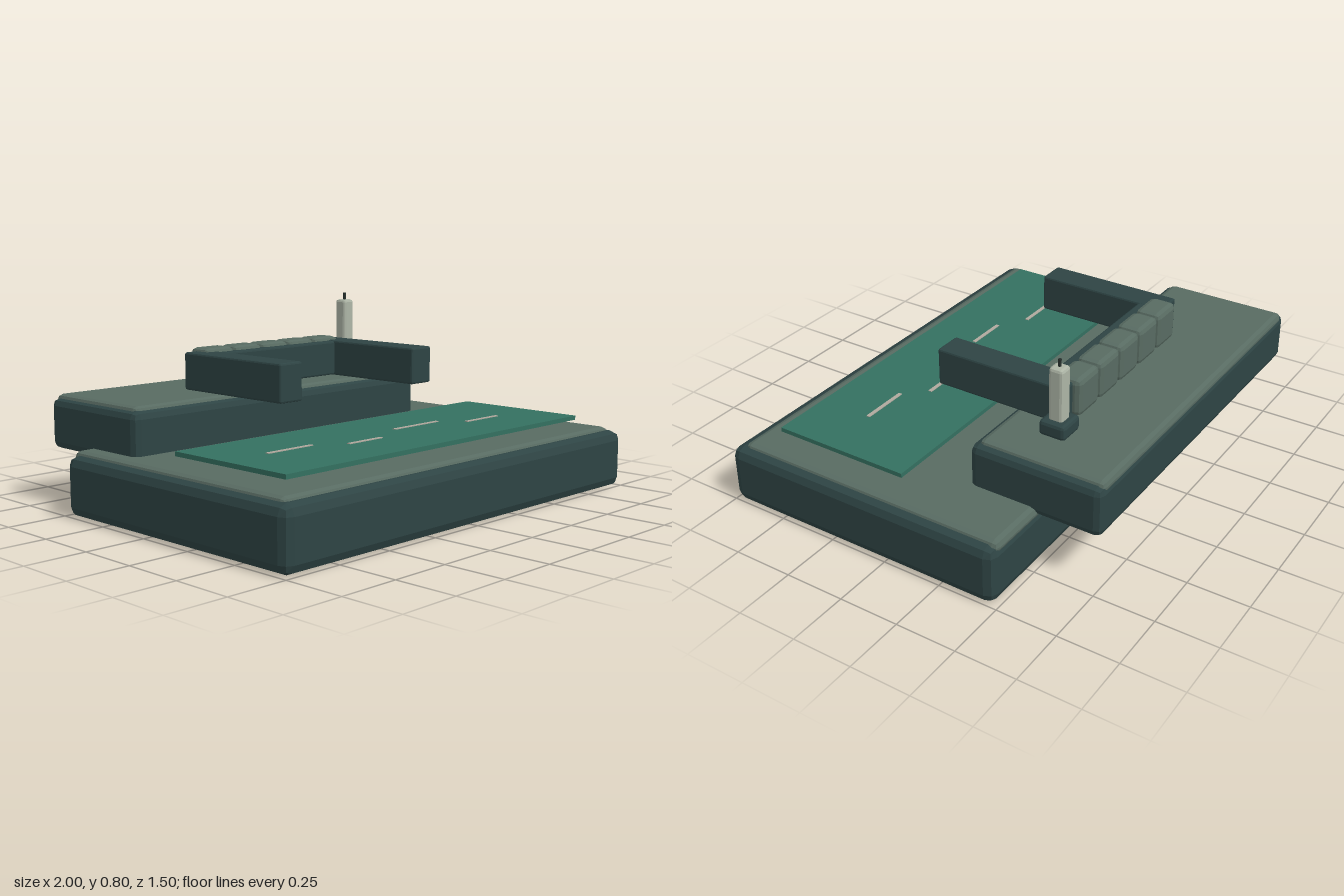
import * as THREE from 'three';
import { RoundedBoxGeometry } from 'three/addons/geometries/RoundedBoxGeometry.js';

function makeMaterial(name, color) {
  const m = new THREE.MeshStandardMaterial({ color, flatShading: true });
  m.name = name;
  return m;
}

export function createModel() {
  const model = new THREE.Group();
  model.name = 'terraceModel';

  const darkStone = makeMaterial('darkStone', 0x2e4444);
  const paleStone = makeMaterial('paleStone', 0x586b62);
  const water = makeMaterial('water', 0x347060);
  const wax = makeMaterial('wax', 0xadb5a6);
  const ripple = makeMaterial('ripple', 0xb0a99e);
  const wickBlack = makeMaterial('wickBlack', 0x28322f);

  // Box given by its extents along each axis, with an optional bevel
  function block(name, material, [x0, x1], [y0, y1], [z0, z1], bevel = 0) {
    const size = [x1 - x0, y1 - y0, z1 - z0];
    const geometry = bevel
      ? new RoundedBoxGeometry(...size, 1, bevel)
      : new THREE.BoxGeometry(...size);
    const mesh = new THREE.Mesh(geometry, material);
    mesh.name = name;
    mesh.position.set((x0 + x1) / 2, (y0 + y1) / 2, (z0 + z1) / 2);
    model.add(mesh);
    return mesh;
  }

  // Lower and upper terraces with their paler caps
  block('lowerTerrace', darkStone, [-1, 1], [0, 0.242], [-0.485, 0.75], 0.04);
  block('lowerCap', paleStone, [-0.965, 0.965], [0.2, 0.257], [-0.483, 0.705], 0.025);
  block('upperTerrace', darkStone, [-0.885, 0.712], [0.222, 0.428], [-0.75, -0.19], 0.03);
  block('upperCap', paleStone, [-0.862, 0.685], [0.39, 0.443], [-0.746, -0.215], 0.022);

  // Thin water sheet and its ripples
  block('waterSheet', water, [-0.86, 0.855], [0.288, 0.306], [0.015, 0.605]);
  const ripples = [[-0.655, -0.425, 0.29], [-0.31, -0.125, 0.37], [0.05, 0.32, 0.28], [0.4, 0.61, 0.37]];
  for (const [x0, x1, z] of ripples) {
    block('ripple', ripple, [x0, x1], [0.303, 0.309], [z - 0.008, z + 0.008]);
  }

  // U-shaped bench: two arms joined by a back bar
  block('rightArm', darkStone, [-0.445, -0.327], [0.448, 0.603], [-0.433, 0.14], 0.008);
  block('leftArm', darkStone, [0.32, 0.44], [0.448, 0.603], [-0.433, 0.14], 0.008);
  block('backBar', darkStone, [-0.34, 0.335], [0.45, 0.6], [-0.42, -0.32], 0.008);

  // Row of five cushions over the back bar
  const pitch = 0.155;
  for (let i = 0; i < 5; i++) {
    const x = -0.39 + i * pitch;
    block('cushion', paleStone, [x, x + pitch - 0.002], [0.458, 0.617], [-0.465, -0.353], 0.022);
  }

  // Candle on its holder
  block('candleHolder', darkStone, [0.492, 0.606], [0.497, 0.558], [-0.533, -0.423], 0.014);
  block('candle', wax, [0.519, 0.579], [0.54, 0.768], [-0.507, -0.447], 0.012);
  block('wick', wickBlack, [0.544, 0.554], [0.76, 0.798], [-0.482, -0.472]);

  return model;
}
